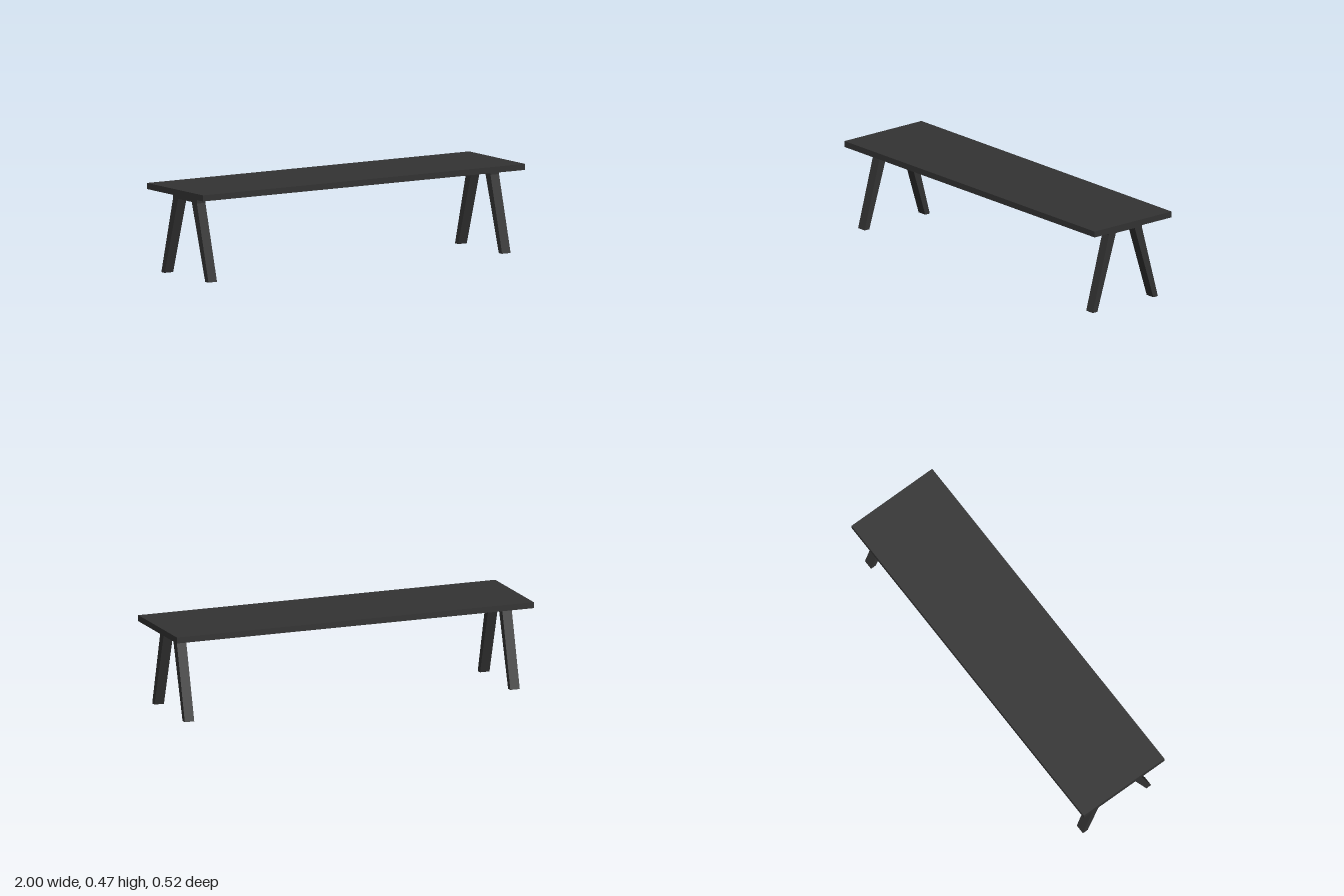
import * as THREE from 'three';

export function createModel() {
  const model = new THREE.Group();
  model.name = 'bench';
  const material = new THREE.MeshStandardMaterial({ color: 0x333333 });

  // Flat seat board
  const seatBottom = 0.435, seatTop = 0.467;
  const seat = new THREE.Mesh(new THREE.BoxGeometry(2, seatTop - seatBottom, 0.523), material);
  seat.name = 'seat';
  seat.position.y = (seatBottom + seatTop) / 2;
  model.add(seat);

  // Splayed trestle outline: one half, mirrored to the other side
  const half = [[0.064, 0.403], [0.19, 0], [0.221, 0], [0.112, 0.4], [0.112, seatBottom]];
  const outline = [...half, ...half.map(([z, y]) => [-z, y]).reverse()];
  const shape = new THREE.Shape(outline.map(([z, y]) => new THREE.Vector2(z, y)));

  const thickness = 0.053;
  const trestle = new THREE.ExtrudeGeometry(shape, { depth: thickness, bevelEnabled: false });
  trestle.translate(0, 0, -thickness / 2);
  trestle.rotateY(-Math.PI / 2);

  // One trestle near each end
  for (const [name, side] of [['leftLegs', 1], ['rightLegs', -1]]) {
    const legs = new THREE.Mesh(trestle, material);
    legs.name = name;
    legs.position.x = side * 0.912;
    model.add(legs);
  }
  return model;
}
